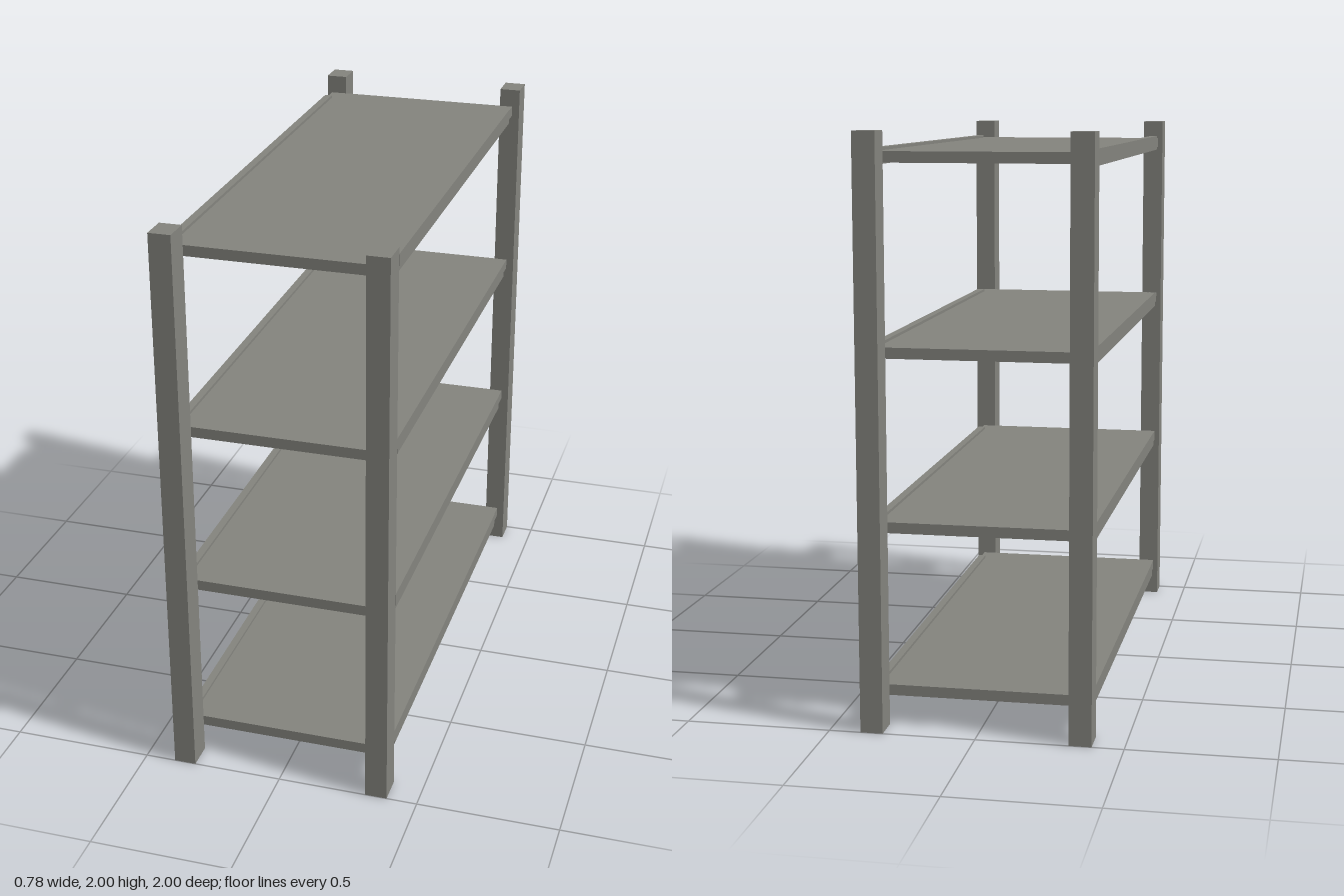
import * as THREE from 'three';

const POST_W = 0.077, POST_D = 0.097, HEIGHT = 2;

// Square post, open at the foot like a hollow tube
function postGeometry() {
  const geo = new THREE.BoxGeometry(POST_W, HEIGHT, POST_D);
  const index = Array.from(geo.index.array);
  index.splice(18, 6); // drop the bottom face
  geo.setIndex(index);
  geo.clearGroups();
  return geo;
}

export function createModel() {
  const group = new THREE.Group();
  group.name = 'shelvingRack';
  const metal = new THREE.MeshStandardMaterial({ color: 0x84847e, side: THREE.DoubleSide });
  metal.name = 'warmGreyMetal';

  // Box given by its minimum and maximum corners
  const box = (name, parent, [x0, y0, z0], [x1, y1, z1]) => {
    const mesh = new THREE.Mesh(new THREE.BoxGeometry(x1 - x0, y1 - y0, z1 - z0), metal);
    mesh.position.set((x0 + x1) / 2, (y0 + y1) / 2, (z0 + z1) / 2);
    mesh.name = name;
    parent.add(mesh);
  };

  // Four corner posts
  const postGeo = postGeometry();
  for (const sx of [-1, 1]) {
    for (const sz of [-1, 1]) {
      const post = new THREE.Mesh(postGeo, metal);
      post.name = (sz > 0 ? 'front' : 'back') + (sx > 0 ? 'Left' : 'Right') + 'Post';
      post.position.set(sx * (0.392 - POST_W / 2), HEIGHT / 2, sz * (1 - POST_D / 2));
      group.add(post);
    }
  }

  // Four shelves, each a board with a raised rail along both long edges
  [0.104, 0.667, 1.256, 1.896].forEach((y, i) => {
    const shelf = new THREE.Group();
    shelf.name = 'shelf' + (i + 1);
    shelf.position.y = y;
    box('board', shelf, [-0.374, 0, -0.904], [0.364, 0.037, 0.903]);
    box('rightRail', shelf, [-0.379, -0.008, -0.827], [-0.352, 0.047, 0.815]);
    box('leftRail', shelf, [0.342, -0.008, -0.827], [0.369, 0.047, 0.815]);
    group.add(shelf);
  });

  return group;
}
